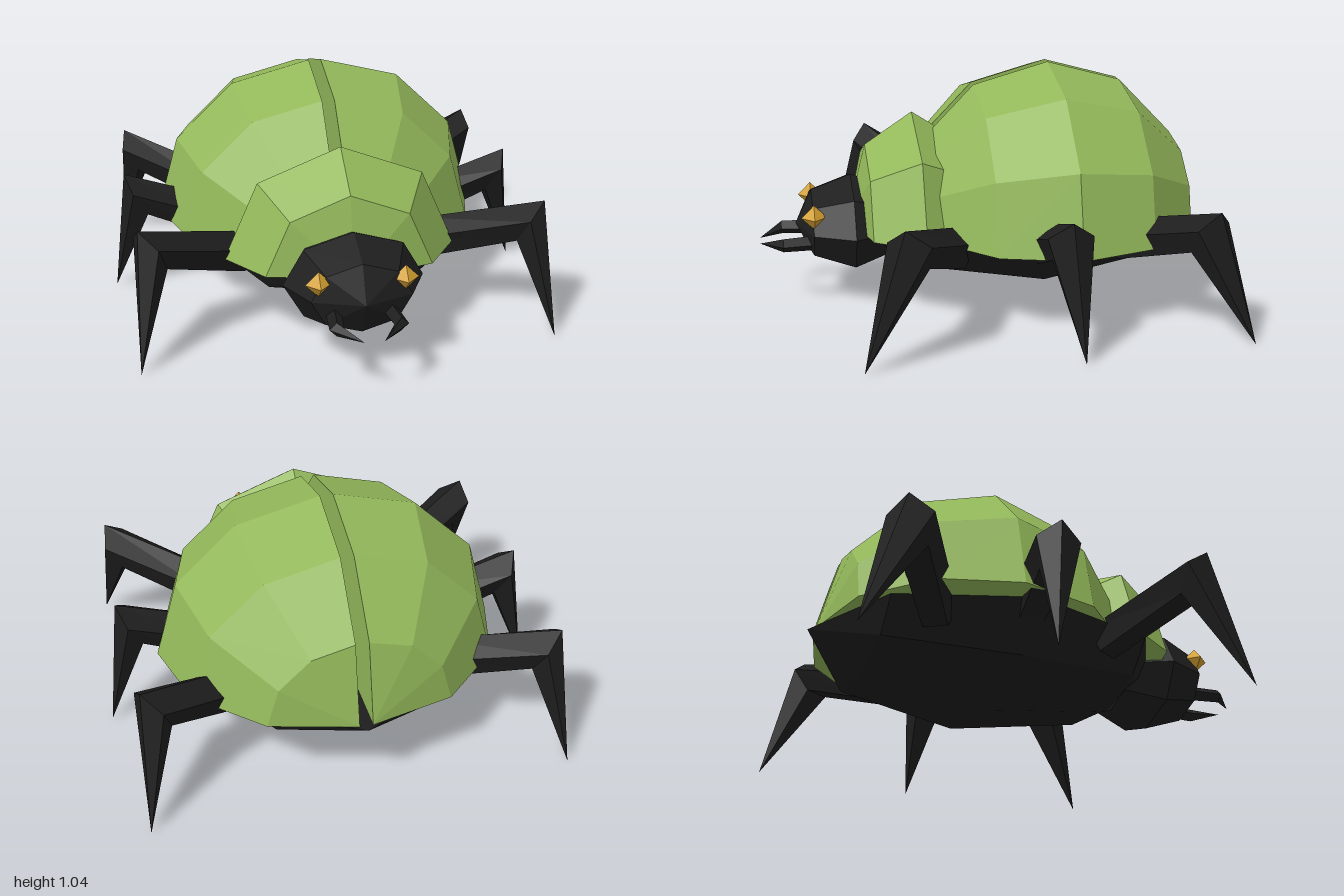
import * as THREE from 'three';
import { mergeGeometries } from 'three/addons/utils/BufferGeometryUtils.js';

const PI = Math.PI;
const material = (color) => new THREE.MeshStandardMaterial({ color, flatShading: true });
const green = material(0x93b85a);
const black = material(0x1e1e1e);
const gold = material(0xd4a030);

// Part of a unit sphere whose poles lie on the z axis
const ball = (segs, rows, start = 0, length = PI * 2) =>
  new THREE.SphereGeometry(1, segs, rows, start, length).rotateX(PI / 2);

// Skin over polygon sections [centre, radius, outward lean]; d is the heading on the ground
function limb(sections, sides, d) {
  const v = new THREE.Vector3(-d.z, 0, d.x);
  const rings = sections.map(([c, r, lean]) => {
    const u = new THREE.Vector3(0, 1, 0).addScaledVector(d, lean);
    return Array.from({ length: sides }, (_, i) => {
      const a = (i / sides) * PI * 2;
      return new THREE.Vector3(...c)
        .addScaledVector(u, r * Math.cos(a))
        .addScaledVector(v, r * Math.sin(a));
    });
  });
  const points = [];
  for (let s = 0; s + 1 < rings.length; s++) {
    for (let i = 0; i < sides; i++) {
      const j = (i + 1) % sides;
      const [a, b, c, e] = [rings[s][i], rings[s][j], rings[s + 1][j], rings[s + 1][i]];
      points.push(a, b, c, a, c, e);
    }
  }
  const geometry = new THREE.BufferGeometry().setFromPoints(points);
  geometry.computeVertexNormals();
  return geometry;
}

export function createModel() {
  const model = new THREE.Group();
  const add = (name, geometry, mat, position = [0, 0, 0], scale = [1, 1, 1]) => {
    const mesh = new THREE.Mesh(geometry, mat);
    mesh.name = name;
    mesh.position.set(...position);
    mesh.scale.set(...scale);
    model.add(mesh);
  };

  // Belly: lower half with a flat top
  add('belly', mergeGeometries([
    ball(4, 4, 0, PI),
    new THREE.CircleGeometry(1, 8).rotateX(-PI / 2),
  ]), black, [0, 0.37, -0.2], [0.65, 0.25, 0.8]);

  // Shield behind the head: upper half with a flat base
  add('neckShield', mergeGeometries([
    ball(4, 4, PI, PI),
    new THREE.CircleGeometry(1, 8).rotateX(PI / 2),
  ]), green, [0, 0.37, 0.31], [0.51, 0.48, 0.3]);

  add('head', ball(8, 4), black, [0, 0.36, 0.59], [0.3, 0.215, 0.25]);

  for (const side of [1, -1]) {
    const label = side > 0 ? 'left' : 'right';

    // Wing case: a quarter dome with an inner wall and a base
    add(label + 'WingCase', mergeGeometries([
      ball(3, 6, side > 0 ? PI : PI * 1.5, PI / 2),
      new THREE.CircleGeometry(1, 6, 0, PI).rotateY(-side * PI / 2),
      new THREE.CircleGeometry(1, 6, -side * PI / 2, PI).rotateX(PI / 2),
    ]), green, [side * 0.028, 0.37, -0.3], [0.72, 0.69, 0.67]);

    add(label + 'Eye', new THREE.OctahedronGeometry(0.056), gold, [side * 0.18, 0.437, 0.763]);

    // Mandible curving inwards
    add(label + 'Mandible', limb([
      [[side * 0.11, 0.3, 0.7], 0, 0],
      [[side * 0.11, 0.3, 0.7], 0.035, 0],
      [[side * 0.132, 0.3, 0.9], 0.03, 0],
      [[side * 0.04, 0.285, 1], 0, 0],
    ], 4, new THREE.Vector3(0, 0, 1)), black);

    // Legs: five-sided thigh, mitred knee, pointed shin
    const legs = [
      ['Front', [0.42, 0.34, 0.18], [0.83, 0.49, 0.42], [0.9, 0.015, 0.62]],
      ['Middle', [0.5, 0.36, -0.2], [0.85, 0.49, -0.21], [0.967, 0.015, -0.26]],
      ['Rear', [0.42, 0.34, -0.56], [0.83, 0.49, -0.8], [0.895, 0.015, -1]],
    ];
    for (const [name, ...joints] of legs) {
      const [hip, knee, tip] = joints.map(([x, y, z]) => [side * x, y, z]);
      const d = new THREE.Vector3(knee[0] - hip[0], 0, knee[2] - hip[2]).normalize();
      add(label + name + 'Leg', limb([
        [hip, 0, 0],
        [hip, 0.09, -0.3],
        [knee, 0.1, 0.55],
        [tip, 0, 0],
      ], 5, d), black);
    }
  }

  // Stand the shin tips on the ground
  model.children.forEach((part) => { part.position.y -= 0.015; });
  return model;
}
